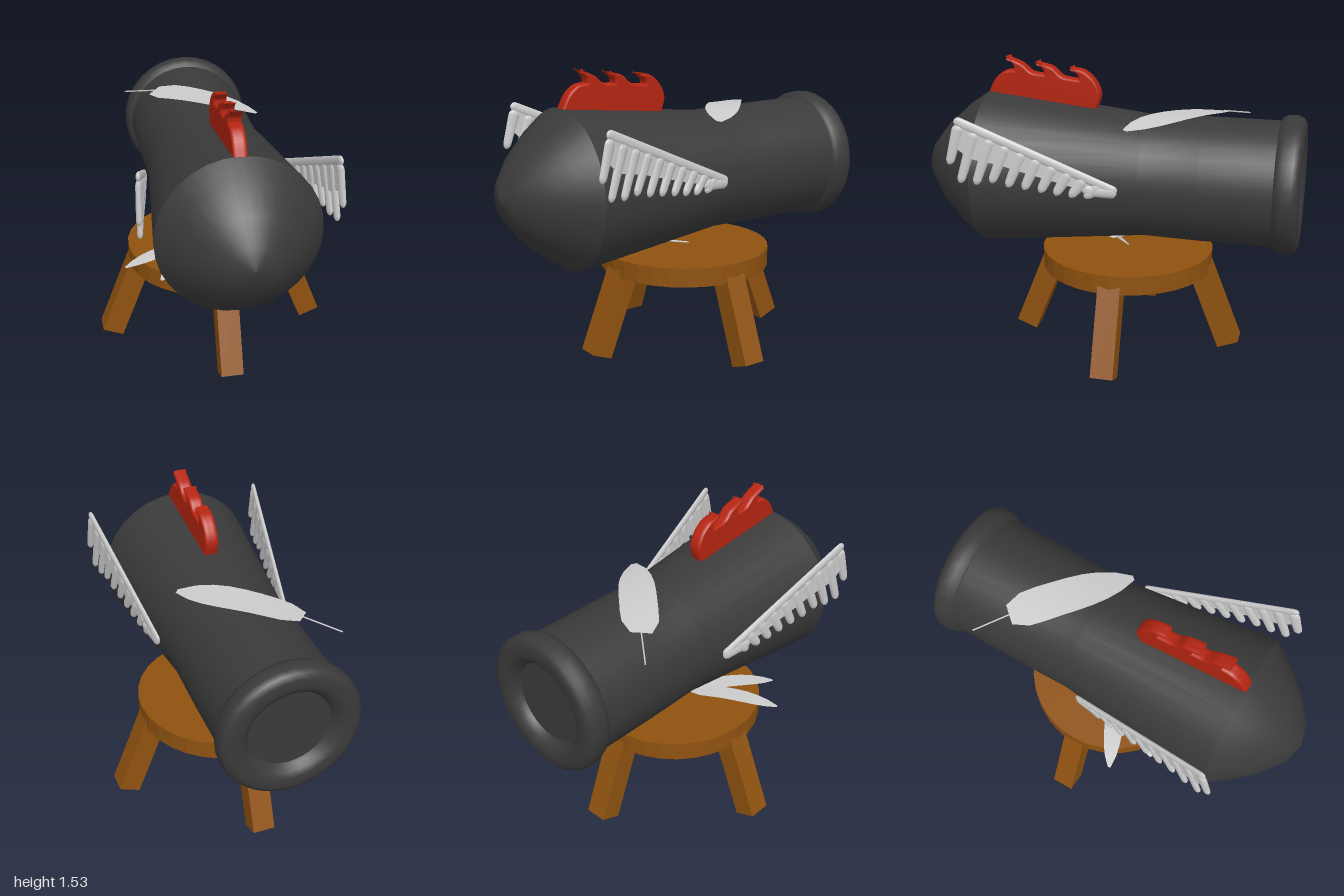
import * as THREE from 'three';

const paint = (color, extra = {}) => new THREE.MeshStandardMaterial({ color, ...extra });
const iron = paint(0x3a3a3a);
const wood = paint(0x8f5210, { flatShading: true });
const red = paint(0xb52511);
const grey = paint(0xcccccc, { side: THREE.DoubleSide });
const V2 = (x, y) => new THREE.Vector2(x, y);
const V3 = (x, y, z) => new THREE.Vector3(x, y, z);

function add(parent, name, geometry, material) {
  const mesh = new THREE.Mesh(geometry, material);
  mesh.name = name;
  parent.add(mesh);
  return mesh;
}

// Turned part along z; profile is [radius, z] from back to front
function turned(profile) {
  const g = new THREE.LatheGeometry(profile.map(([r, z]) => V2(r, z)), 32);
  return g.rotateX(Math.PI / 2).translate(0, 0.935, 0);
}

function cannon() {
  const g = new THREE.Group();
  g.name = 'cannon';
  add(g, 'nose', turned([[0.412, 0.65], [0.33, 0.765], [0.225, 0.88], [0.11, 0.97], [0, 1]]), iron);
  add(g, 'barrel', turned([[0.324, -0.88], [0.324, -0.5], [0.319, -0.2], [0.412, 0.65]]), iron);
  add(g, 'muzzleRing', turned([[0.205, -0.94], [0.215, -0.96], [0.235, -0.985], [0.265, -1], [0.315, -1],
    [0.342, -0.985], [0.355, -0.96], [0.355, -0.91], [0.342, -0.88], [0.32, -0.87]]), iron);
  add(g, 'boreFloor', turned([[0, -0.945], [0.21, -0.945]]), iron);
  return g;
}

function stool() {
  const g = new THREE.Group();
  g.name = 'stool';
  g.position.z = -0.092;
  const seat = add(g, 'seat', new THREE.CylinderGeometry(0.455, 0.455, 0.1, 32), wood);
  seat.position.y = 0.485;
  for (let i = 0; i < 4; i++) {
    const leg = new THREE.BoxGeometry(0.117, 0.48, 0.117);
    leg.translate(0, 0.24, 0).rotateZ(0.375).translate(0.565, 0.022, 0).rotateY(i * Math.PI / 2);
    add(g, 'leg', leg, wood);
  }
  return g;
}

// Red crest with three hooked teeth, drawn in (z, y)
function comb() {
  const s = new THREE.Shape();
  s.moveTo(0.63, 1.27);
  s.lineTo(0.655, 1.345);
  s.splineThru([V2(0.62, 1.41), V2(0.57, 1.452), V2(0.515, 1.462)]);
  s.splineThru([V2(0.522, 1.49), V2(0.56, 1.53)]);
  s.splineThru([V2(0.475, 1.497), V2(0.42, 1.455), V2(0.355, 1.447)]);
  s.splineThru([V2(0.36, 1.47), V2(0.4, 1.508)]);
  s.splineThru([V2(0.31, 1.485), V2(0.255, 1.44), V2(0.17, 1.428)]);
  s.splineThru([V2(0.175, 1.45), V2(0.217, 1.487)]);
  s.splineThru([V2(0.14, 1.473), V2(0.08, 1.42), V2(0.053, 1.35), V2(0.075, 1.27)]);
  const g = new THREE.ExtrudeGeometry(s, {
    depth: 0.03, bevelThickness: 0.02, bevelSize: 0.012, bevelOffset: -0.012, bevelSegments: 4, curveSegments: 5,
  });
  return g.translate(0, 0, -0.015).rotateY(-Math.PI / 2);
}

// Flattened capsule from a to b in the wing plane, narrowing towards b
function blade(a, b, r, taper) {
  const d = b.clone().sub(a), len = d.length();
  const g = new THREE.CapsuleGeometry(r, len - 2 * r, 4, 10);
  const p = g.attributes.position;
  for (let i = 0; i < p.count; i++) {
    const t = p.getY(i) / len + 0.5;
    p.setX(i, p.getX(i) * (1 - taper * t * t));
  }
  g.scale(1, 1, 0.5).rotateZ(Math.atan2(d.y, d.x) - Math.PI / 2);
  g.translate((a.x + b.x) / 2, (a.y + b.y) / 2, 0);
  g.computeVertexNormals();
  return g;
}

function wing(side) {
  const g = new THREE.Group();
  g.name = side > 0 ? 'leftWing' : 'rightWing';
  // Stand the flat wing up along z and splay it outwards to the front
  const splay = new THREE.Matrix4().set(1, 0, side * 0.155, side * 0.37, 0, 1, 0, 0, 0, 0, 1, 0, 0, 0, 0, 1);
  const place = (name, geo) => add(g, name, geo.rotateY(-Math.PI / 2).applyMatrix4(splay), grey);

  const tips = [[0.715, 1.07], [0.665, 0.975], [0.588, 0.968], [0.51, 0.978], [0.43, 0.958],
    [0.35, 0.947], [0.27, 0.934], [0.195, 0.922], [0.122, 0.914], [0.05, 0.914]];
  const web = [];
  tips.forEach(([z, y], i) => {
    const t = i / (tips.length - 1);
    const root = V2(0.658 - 0.69 * t, 1.275 - 0.295 * t), tip = V2(z, y);
    place('wingFeather', blade(root, tip, 0.03, 0.35));
    web.push(root.clone().lerp(tip, 0.5));
  });
  place('wingArm', blade(V2(0.682, 1.3), V2(-0.11, 0.945), 0.024, 0));
  place('wingTip', blade(V2(0.06, 0.955), V2(-0.11, 0.94), 0.03, 0));
  // Thin web joining the upper halves of the feathers
  const s = new THREE.Shape([V2(0.67, 1.29), ...web, V2(-0.08, 0.94), V2(-0.08, 0.965)]);
  place('wingWeb', new THREE.ExtrudeGeometry(s, { depth: 0.014, bevelEnabled: false }).translate(0, 0, -0.007));
  return g;
}

// Loose feather: a thin curved vane with a quill; points are [x, z], height(x, u) gives y
function looseFeather(name, quill, base, tip, width, height) {
  const g = new THREE.Group();
  g.name = name;
  const profile = [0.55, 0.95, 1, 1, 1, 0.97, 0.85, 0.6, 0.15];
  const n = profile.length - 1;
  const dx = tip[0] - base[0], dz = tip[1] - base[1], len = Math.hypot(dx, dz);
  const vane = new THREE.PlaneGeometry(1, 1, n, 4);
  const p = vane.attributes.position;
  for (let i = 0; i < p.count; i++) {
    const u = p.getX(i) + 0.5;
    const w = -p.getY(i) * width * profile[Math.round(u * n)];
    const x = base[0] + dx * u - dz / len * w, z = base[1] + dz * u + dx / len * w;
    p.setXYZ(i, x, height(x, u), z);
  }
  vane.computeVertexNormals();
  add(g, 'vane', vane, grey);
  const a = V3(quill[0], height(quill[0], 0), quill[1]);
  const b = V3(base[0], height(base[0], 0), base[1]);
  add(g, 'quill', new THREE.TubeGeometry(new THREE.LineCurve3(a, b), 2, 0.004, 6), grey);
  return g;
}

export function createModel() {
  const model = new THREE.Group();
  model.name = 'cannonOnStool';
  model.add(cannon(), stool(), wing(1), wing(-1));
  add(model, 'comb', comb(), red);
  // One feather rests on the barrel, two on the stool
  model.add(looseFeather('barrelFeather', [-0.38, -0.68], [-0.23, -0.555], [0.255, -0.125], 0.185,
    (x) => 1.268 - 0.46 * x * x));
  const arc = (x, u) => 0.543 + 0.022 * Math.sin(Math.PI * u);
  model.add(looseFeather('stoolFeatherOuter', [0.03, -0.1], [-0.07, -0.03], [-0.5, 0.165], 0.1, arc));
  model.add(looseFeather('stoolFeatherInner', [0.03, -0.1], [-0.06, -0.02], [-0.335, 0.33], 0.1, arc));
  return model;
}
